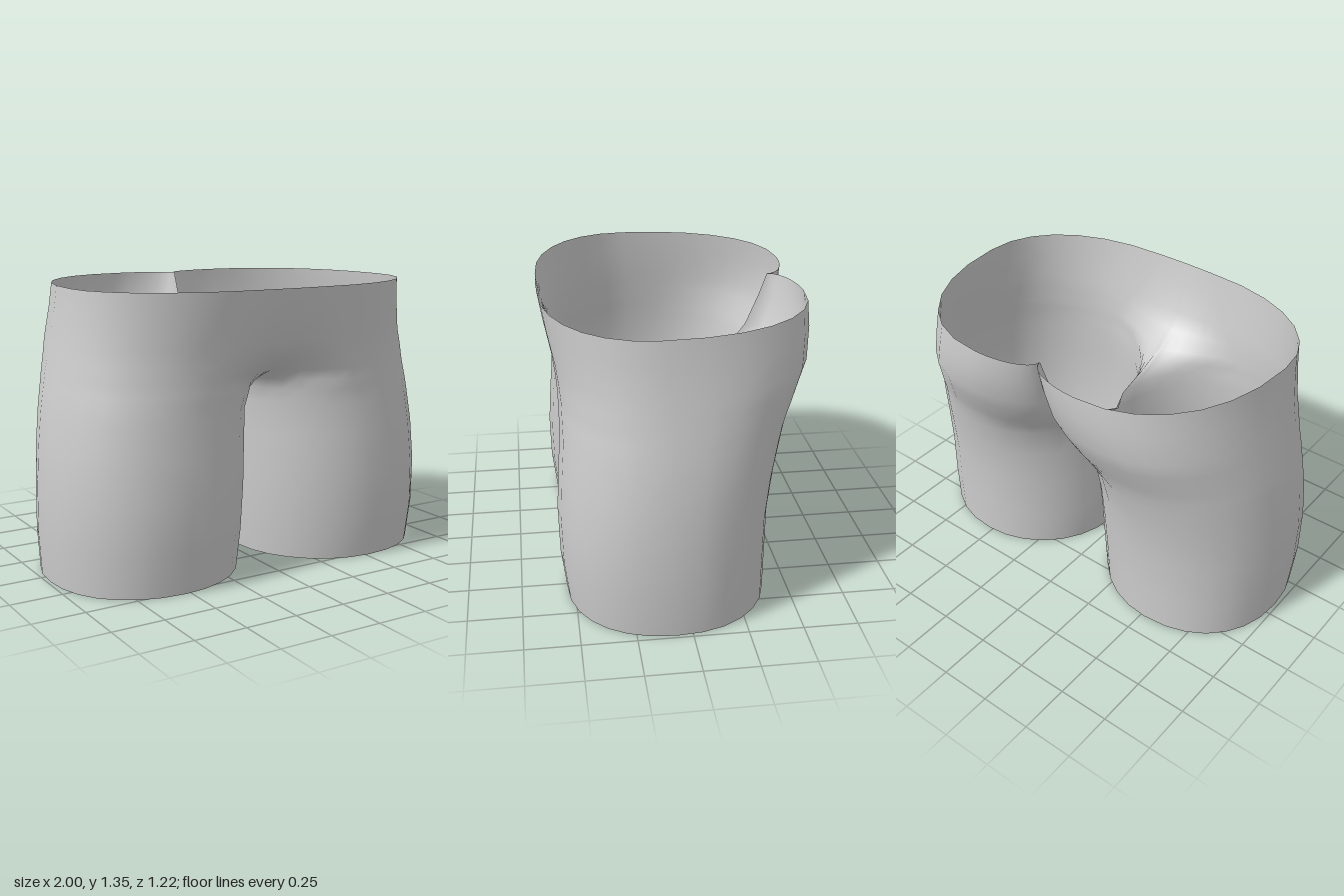
import * as THREE from 'three';

// Levels from hem to waist:
// y, outer x, mid z, front z, front apex x, back z, back apex x, inner x, inner front z, inner back z
const LEVELS = [
  [0.00, 0.985, 0.07, 0.535, 0.52, -0.395, 0.52, 0.05, 0.07, 0.07],
  [0.20, 1.000, 0.08, 0.560, 0.52, -0.397, 0.52, 0.03, 0.07, 0.07],
  [0.42, 1.000, 0.09, 0.565, 0.50, -0.405, 0.50, 0.02, 0.07, 0.07],
  [0.62, 0.985, 0.09, 0.553, 0.48, -0.430, 0.50, 0.012, 0.06, 0.06],
  [0.78, 0.962, 0.08, 0.540, 0.46, -0.465, 0.48, 0.004, 0.05, 0.05],
  [0.85, 0.950, 0.08, 0.540, 0.43, -0.485, 0.46, 0, 0.10, -0.10],
  [0.90, 0.940, 0.08, 0.540, 0.40, -0.505, 0.44, 0, 0.27, -0.20],
  [0.95, 0.930, 0.08, 0.540, 0.38, -0.530, 0.42, 0, 0.41, -0.27],
  [1.02, 0.916, 0.09, 0.546, 0.34, -0.560, 0.40, 0, 0.50, -0.34],
  [1.10, 0.900, 0.09, 0.558, 0.28, -0.593, 0.38, 0, 0.55, -0.40],
  [1.24, 0.876, 0.11, 0.590, 0.20, -0.612, 0.32, 0, 0.59, -0.46],
  [1.35, 0.865, 0.12, 0.610, 0.15, -0.610, 0.28, 0, 0.613, -0.50],
];
const STEPS = 7; // segments per quarter of a section

// One section: inner front, front apex, outer side, back apex, inner back
function section([y, xo, zm, zf, xf, zb, xb, xi, zif, zib]) {
  const pts = [];
  const w = THREE.MathUtils.clamp((y - 0.85) / 0.12, 0, 1);
  const e = 2 / 2.2;
  for (let q = 0; q < 4; q++) {
    for (let i = 0; i < STEPS + (q === 3 ? 1 : 0); i++) {
      const a = (i / STEPS) * Math.PI / 2, s = Math.sin(a), c = Math.cos(a);
      if (q === 0) {
        // rounded thigh below, soft blend across the front above
        const u = 1 - c, soft = u * u * (3 - 2 * u);
        pts.push([xi + (xf - xi) * u, y, zif + (zf - zif) * THREE.MathUtils.lerp(s, soft, w)]);
      } else if (q === 1) {
        pts.push([xf + (xo - xf) * s ** e, y, zm + (zf - zm) * Math.max(c, 0) ** e]);
      } else if (q === 2) {
        pts.push([xb + (xo - xb) * Math.max(c, 0) ** e, y, zm + (zb - zm) * s ** e]);
      } else {
        pts.push([xi + (xb - xi) * (1 - s), y, zib + (zb - zib) * c]);
      }
    }
  }
  return pts;
}

// One half of the garment; side is +1 for left and -1 for right
function half(side) {
  const rows = LEVELS.map(section), n = rows[0].length;
  const geo = new THREE.BufferGeometry();
  const pos = rows.flat().flatMap(([x, y, z]) => [x * side, y, z]);
  const index = [];
  for (let r = 0; r < rows.length - 1; r++) {
    for (let c = 0; c < n - 1; c++) {
      const a = r * n + c, b = a + 1, d = a + n, f = d + 1;
      if (side > 0) index.push(a, b, f, a, f, d);
      else index.push(a, f, b, a, d, f);
    }
  }
  geo.setAttribute('position', new THREE.Float32BufferAttribute(pos, 3));
  geo.setIndex(index);
  geo.computeVertexNormals();

  // Smooth the inner leg closure and the front centre line; keep the back crease sharp
  const nor = geo.attributes.normal, v = new THREE.Vector3(), u = new THREE.Vector3();
  LEVELS.forEach(([y], r) => {
    const first = r * n, last = first + n - 1;
    v.fromBufferAttribute(nor, first);
    if (y < 0.8) {
      v.add(u.fromBufferAttribute(nor, last)).normalize();
      nor.setXYZ(last, v.x, v.y, v.z);
    } else if (y > 0.88) {
      v.setX(0).normalize();
    }
    nor.setXYZ(first, v.x, v.y, v.z);
  });
  return geo;
}

export function createModel() {
  const group = new THREE.Group();
  group.name = 'shorts';
  const cloth = new THREE.MeshStandardMaterial({ color: 0xcccccc, side: THREE.DoubleSide });
  cloth.name = 'light grey cloth';
  for (const [name, side] of [['leftHalf', 1], ['rightHalf', -1]]) {
    const mesh = new THREE.Mesh(half(side), cloth);
    mesh.name = name;
    group.add(mesh);
  }
  return group;
}
